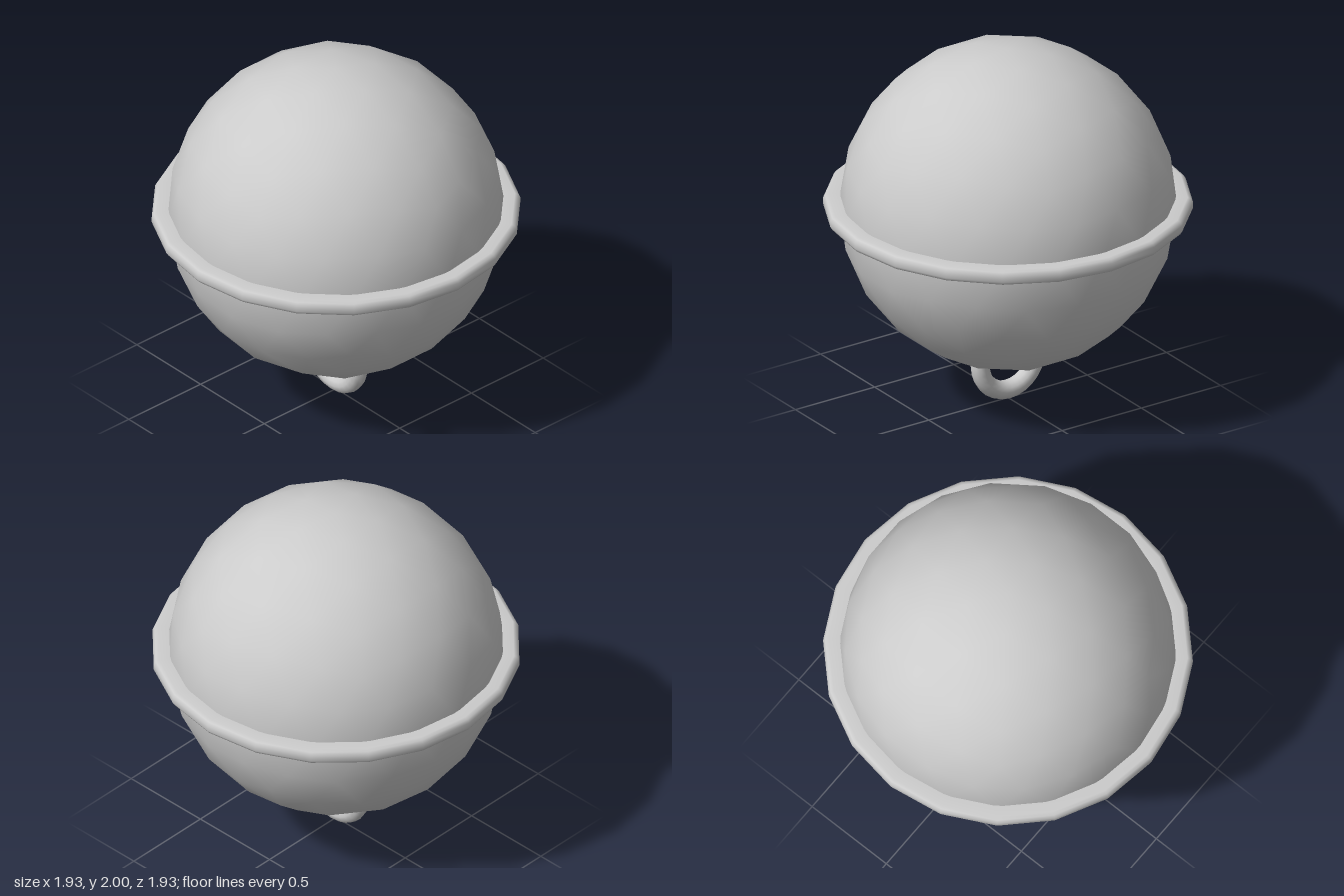
import * as THREE from 'three';

export function createModel() {
  const group = new THREE.Group();
  const material = new THREE.MeshStandardMaterial({ color: 0xcccccc });
  const centreY = 1.118;

  const add = (name, geometry, y) => {
    const mesh = new THREE.Mesh(geometry, material);
    mesh.name = name;
    mesh.position.y = y;
    group.add(mesh);
  };

  // Ball: subdivided icosahedron turned so that one corner points straight up
  const ball = new THREE.IcosahedronGeometry(0.882, 3);
  ball.rotateZ(-Math.atan(2 / (1 + Math.sqrt(5))));
  add('ball', ball, centreY);

  // Band: flat ring with a rounded rim around the middle
  const profile = [
    [0.83, -0.042], [0.88, -0.042], [0.937, -0.042], [0.954, -0.034], [0.965, -0.016],
    [0.965, 0.016], [0.954, 0.034], [0.937, 0.042], [0.88, 0.042], [0.83, 0.042],
  ].map(([r, y]) => new THREE.Vector2(r, y));
  add('band', new THREE.LatheGeometry(profile, 20), centreY);

  // Hanging loop, sunk into the underside of the ball
  add('loop', new THREE.TorusGeometry(0.175, 0.05, 12, 28), 0.225);

  return group;
}
